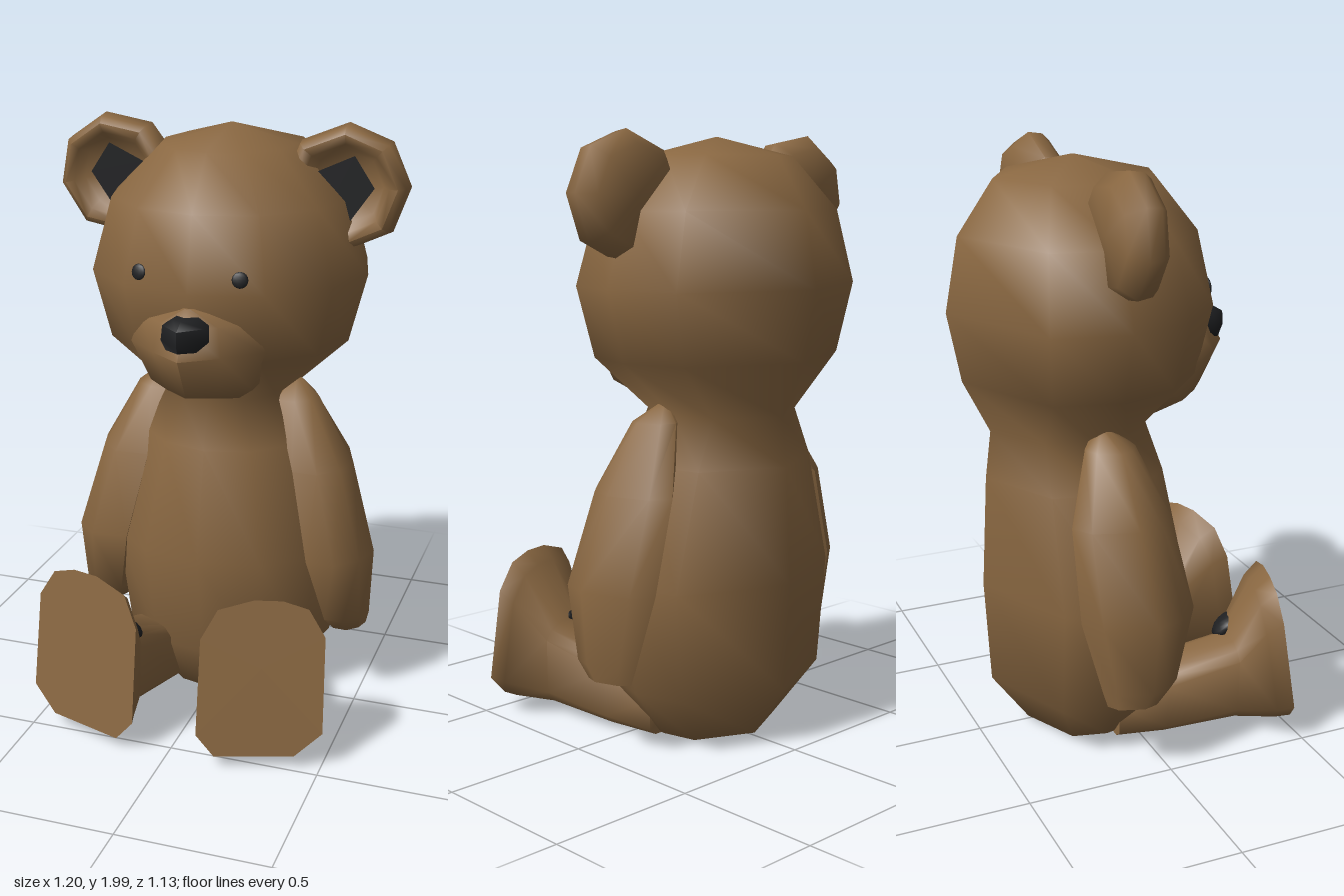
import * as THREE from 'three';
import { toCreasedNormals } from 'three/addons/utils/BufferGeometryUtils.js';

const fur = new THREE.MeshStandardMaterial({ name: 'brown fur', color: 0x896741 });
const black = new THREE.MeshStandardMaterial({ name: 'black felt', color: 0x1e1f21 });

// Skin a list of equal-length rings of [x, y, z], closing both ends; faces are turned outward.
function loft(rings, crease) {
  const n = rings[0].length;
  const pos = rings.flat(2);
  const idx = [];
  const mid = (ring) => [0, 1, 2].map((k) => ring.reduce((sum, p) => sum + p[k], 0) / n);
  for (let r = 0; r < rings.length - 1; r++) {
    for (let i = 0; i < n; i++) {
      const a = r * n + i, b = r * n + (i + 1) % n;
      idx.push([a, b, b + n], [a, b + n, a + n]);
    }
  }
  const first = rings.length * n, last = first - n;
  pos.push(...mid(rings[0]), ...mid(rings[rings.length - 1]));
  for (let i = 0; i < n; i++) {
    const j = (i + 1) % n;
    idx.push([first, j, i], [first + 1, last + i, last + j]);
  }
  const v = (i) => new THREE.Vector3().fromArray(pos, i * 3);
  const volume = idx.reduce((s, [a, b, c]) => s + v(a).dot(v(b).cross(v(c))), 0);
  if (volume < 0) idx.forEach((t) => t.reverse());
  const g = new THREE.BufferGeometry();
  g.setAttribute('position', new THREE.Float32BufferAttribute(pos, 3));
  g.setIndex(idx.flat());
  return toCreasedNormals(g, crease);
}

// Points of a unit polygon
function circle(n, phase) {
  return Array.from({ length: n }, (_, i) => {
    const a = phase + (i / n) * Math.PI * 2;
    return [Math.cos(a), Math.sin(a)];
  });
}

// Squares off a sine or cosine for boxy cross-sections
const boxy = (t) => Math.sign(t) * Math.abs(t) ** 0.7;

export function createModel() {
  const model = new THREE.Group();
  model.name = 'teddyBear';
  const add = (name, geometry, material = fur, parent = model) => {
    const mesh = new THREE.Mesh(geometry, material);
    mesh.name = name;
    parent.add(mesh);
    return mesh;
  };
  const blob = (name, [x, y, z], [sx, sy, sz], parent) => {
    const mesh = add(name, new THREE.SphereGeometry(1, 10, 8), black, parent);
    mesh.position.set(x, y, z);
    mesh.scale.set(sx, sy, sz);
    return mesh;
  };

  // Head and body in one skin: [y, half width, front z, back z]
  const section = [[0, 1], [0.5, 0.87], [0.87, 0.5], [1, 0], [0.87, -0.56], [0, -1],
    [-0.87, -0.56], [-1, 0], [-0.87, 0.5], [-0.5, 0.87]];
  const trunk = [
    [1.98, 0.006, -0.127, -0.139], [1.92, 0.23, 0.13, -0.4], [1.75, 0.4, 0.26, -0.52],
    [1.51, 0.47, 0.31, -0.565], [1.28, 0.41, 0.26, -0.52], [1.1, 0.22, 0.11, -0.43],
    [0.94, 0.3, 0.16, -0.45], [0.56, 0.41, 0.23, -0.47], [0.2, 0.37, 0.18, -0.45],
    [0.02, 0.22, 0.1, -0.32],
  ];
  add('headAndBody', loft(trunk.map(([y, w, f, b]) =>
    section.map(([x, z]) => [x * w, y, (f + b) / 2 + z * (f - b) / 2])), 2));

  // Wedge-shaped muzzle: [y, half width, side z, tip z]
  const muzzle = [[1.465, 0.02, 0.29, 0.305], [1.41, 0.19, 0.22, 0.35], [1.32, 0.225, 0.22, 0.405],
    [1.18, 0.175, 0.18, 0.33], [1.115, 0.1, 0.09, 0.12]];
  add('muzzle', loft(muzzle.map(([y, w, s, t]) => [
    [-w, y, 0], [-w, y, s], [-w / 2, y, (s + t) / 2 + 0.01], [0, y, t],
    [w / 2, y, (s + t) / 2 + 0.01], [w, y, s], [w, y, 0]]), 1.4));

  // Pointed nose: [y, half width, side z, tip z]
  const nose = [[1.442, 0.035, 0.345, 0.37], [1.418, 0.07, 0.345, 0.41], [1.37, 0.076, 0.345, 0.412],
    [1.347, 0.05, 0.37, 0.402]];
  add('nose', loft(nose.map(([y, w, s, t]) => [
    [-w, y, 0.28], [-w, y, s], [0, y, t], [w, y, s], [w, y, 0.28]]), 1.2), black);

  // Dark patch under the seat
  const patch = add('seatPatch', new THREE.CircleGeometry(0.16, 9), black);
  patch.rotation.x = Math.PI / 2;
  patch.position.set(0, 0.016, -0.12);

  // Sole outline, shared by both feet
  const sole = [[0.11, 0.12], [0.11, 0.44], [0.16, 0.54], [0.27, 0.575], [0.36, 0.575], [0.44, 0.55],
    [0.495, 0.46], [0.505, 0.14], [0.42, 0.06], [0.17, 0.05]];
  // Arm outline in x and z, fuller at the inner front
  const armSection = [[1, 0.1], [0.75, 0.6], [0.1, 0.97], [-0.75, 0.95], [-1, 0.3],
    [-0.9, -0.5], [-0.1, -1], [0.5, -0.75]];
  // Ear lining outline around the ear centre
  const lining = [[-0.1, 0.045], [0.02, 0.1], [0.087, 0], [0.01, -0.11], [-0.08, -0.1]];

  for (const s of [1, -1]) {
    const side = new THREE.Group();
    side.name = s > 0 ? 'leftSide' : 'rightSide';
    model.add(side);

    const eye = blob('eye', [s > 0 ? 0.157 : -0.178, 1.56, 0.264], [0.026, 0.026, 0.008], side);
    eye.rotation.set(-0.2, s * 0.24, 0);

    // Cupped ear, drawn out towards the head: [z, radius]
    const phase = s > 0 ? 0.03 : Math.PI / 4 - 0.21;
    const ear = [[-0.19, 0.155], [-0.135, 0.2], [-0.085, 0.192], [-0.062, 0.17], [-0.07, 0.14], [-0.11, 0.115]];
    add('ear', loft(ear.map(([z, r]) => circle(8, phase).map(([x, y]) =>
      [s * (0.4 + x * r * (x < 0 ? 1.12 : 1)), 1.798 + y * r * (y < 0 ? 1.04 : 1), z])), 1.1), fur, side);
    const shape = new THREE.Shape(lining.map(([x, y]) => new THREE.Vector2(s * x, y)));
    add('innerEar', new THREE.ShapeGeometry(shape), black, side).position.set(s * 0.4, 1.797, -0.1);

    // Arm: [y, centre x, half width, centre z, half depth]; the right one leans slightly inward
    const lean = s > 0 ? 0 : 0.045;
    const arm = [[1.14, 0.235, 0.012, -0.13, 0.012], [1.08, 0.25, 0.075, -0.11, 0.085],
      [0.86, 0.35, 0.1, -0.11, 0.17], [0.56, 0.425, 0.112, -0.085, 0.195],
      [0.32, 0.45, 0.075, -0.09, 0.13], [0.265, 0.455, 0.055, -0.11, 0.095]];
    add('arm', loft(arm.map(([y, cx, rx, cz, rz]) => armSection.map(([x, z]) =>
      [s * (cx + x * rx + (x < 0 ? lean * x : 0)), y, cz + z * rz])), 1.1), fur, side);

    // Leg: [z, centre x, half width, centre y, half height], flaring into the tilted foot
    const leg = [[-0.08, 0.165, 0.1, 0.08, 0.078], [0.07, 0.215, 0.12, 0.137, 0.12],
      [0.32, 0.27, 0.108, 0.185, 0.148]];
    const legRings = leg.map(([z, cx, rx, cy, ry]) => sole.map(([x, y]) => {
      const a = Math.atan2((y - 0.315) / 0.265, (x - 0.305) / 0.195);
      return [s * (cx + rx * boxy(Math.cos(a))), cy + ry * boxy(Math.sin(a)), z];
    }));
    const soleZ = (x, y) => 0.57 - 0.26 * (x - 0.11) - 0.16 * (y - 0.1);
    const heel = sole.map(([x, y]) =>
      [s * (0.305 + (x - 0.305) * 0.92), 0.06 + (y - 0.06) * 0.92, soleZ(x, y) - 0.055]);
    const front = sole.map(([x, y]) => [s * x, y, soleZ(x, y)]);
    add('legAndFoot', loft([...legRings, heel, front], 1.15), fur, side);

    // Dark patch in the fold between shin and foot
    const fold = blob('anklePatch', [s > 0 ? 0.235 : -0.21, 0.345, 0.345],
      s > 0 ? [0.042, 0.02, 0.04] : [0.058, 0.03, 0.06], side);
    fold.rotation.set(-0.7, 0, s * 0.3);
  }
  return model;
}
